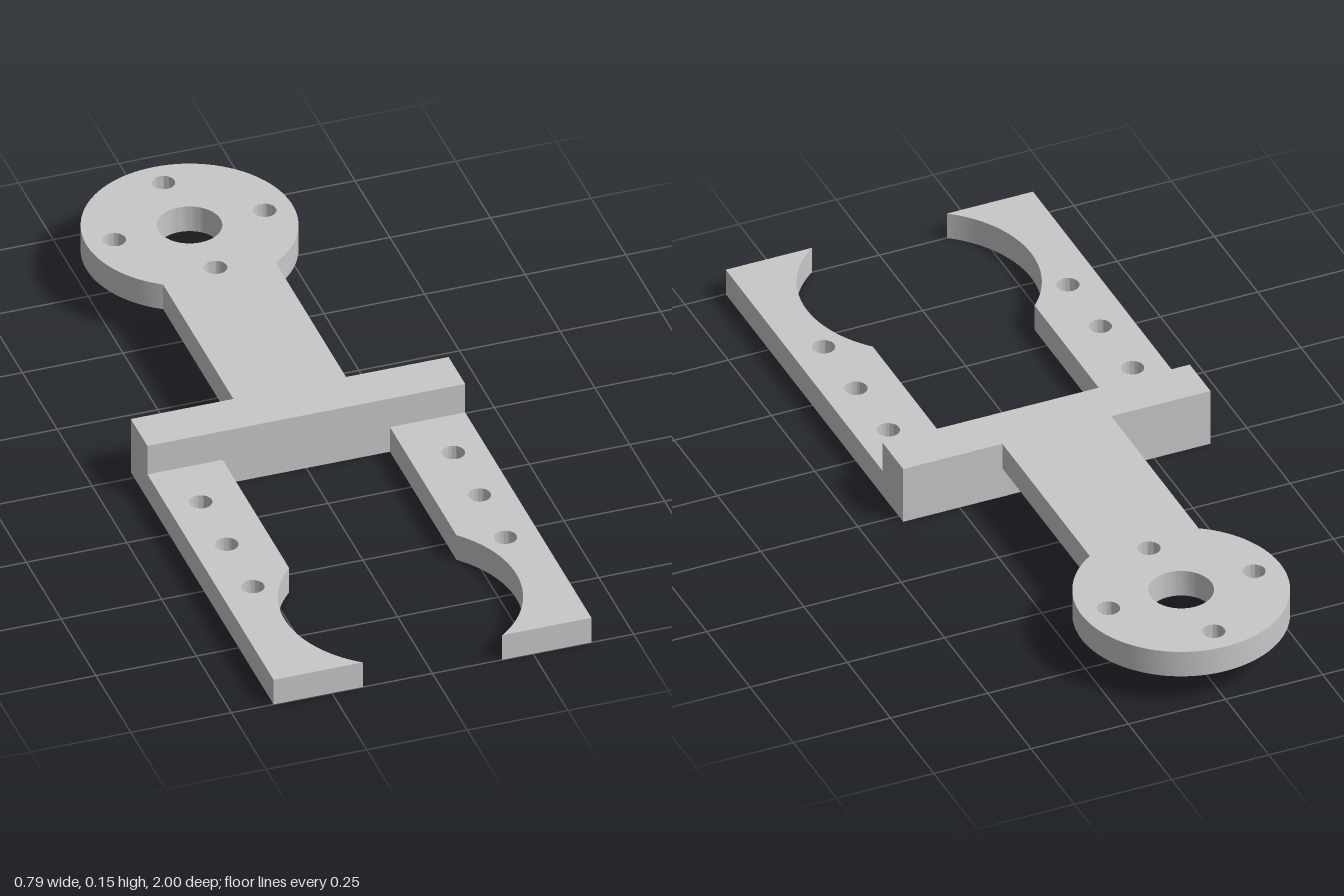
import * as THREE from 'three';
import { toCreasedNormals } from 'three/addons/utils/BufferGeometryUtils.js';

const HEIGHT = 0.151, PLATE = 0.07;   // overall height, plate thickness
const BAR_BACK = -0.025, BAR_FRONT = 0.094, HALF_WIDTH = 0.395;
const SMALL_HOLE = 0.0275;

export function createModel() {
  const group = new THREE.Group();
  const grey = new THREE.MeshStandardMaterial({ color: 0xc8c8c8 });
  grey.name = 'grey metal';

  const add = (name, geometry) => {
    const mesh = new THREE.Mesh(geometry, grey);
    mesh.name = name;
    group.add(mesh);
    return mesh;
  };

  // Counter-clockwise holes keep their walls facing inward for either outline direction
  const addHole = (shape, x, z, r) => {
    shape.holes.push(new THREE.Path().absarc(x, z, r, 0, Math.PI * 2, false));
  };

  // Flat plate: the outline is drawn in (x, z) and extruded down from top
  const plate = (shape, top) => {
    const g = new THREE.ExtrudeGeometry(shape, { depth: PLATE, bevelEnabled: false, curveSegments: 40 });
    g.rotateX(Math.PI / 2);
    g.translate(0, top, 0);
    return toCreasedNormals(g, 0.5);
  };

  // Cross bar joining the raised handle to the lower fork
  const bar = add('crossBar', new THREE.BoxGeometry(HALF_WIDTH * 2, HEIGHT, BAR_FRONT - BAR_BACK));
  bar.position.set(0, HEIGHT / 2, (BAR_FRONT + BAR_BACK) / 2);

  // Neck with round mounting disc
  const discZ = -0.744, discR = 0.256, neck = 0.14;
  const a = Math.acos(neck / discR);
  const handle = new THREE.Shape();
  handle.moveTo(-neck, BAR_BACK);
  handle.lineTo(neck, BAR_BACK);
  handle.absarc(0, discZ, discR, a, Math.PI - a, true);
  handle.closePath();
  addHole(handle, 0, discZ, 0.077);
  for (let i = 0; i < 4; i++) {
    const t = i * Math.PI / 2;
    addHole(handle, 0.187 * Math.cos(t), discZ + 0.187 * Math.sin(t), SMALL_HOLE);
  }
  add('mountingHandle', plate(handle, HEIGHT));

  // Fork arms, mirrored, with a circular cutout on the inner side
  const cutZ = 0.77, cutR = 0.288, inner = 0.208;
  const tip = Math.asin((1 - cutZ) / cutR);
  const root = -Math.acos(inner / cutR);
  for (const s of [1, -1]) {
    const angle = (t) => (s > 0 ? t : Math.PI - t);
    const arm = new THREE.Shape();
    arm.moveTo(s * inner, BAR_FRONT);
    arm.lineTo(s * HALF_WIDTH, BAR_FRONT);
    arm.lineTo(s * HALF_WIDTH, 1);
    arm.absarc(0, cutZ, cutR, angle(tip), angle(root), s > 0);
    arm.closePath();
    for (const z of [0.243, 0.43, 0.617]) addHole(arm, s * 0.314, z, SMALL_HOLE);
    add(s > 0 ? 'leftForkArm' : 'rightForkArm', plate(arm, PLATE));
  }
  return group;
}
